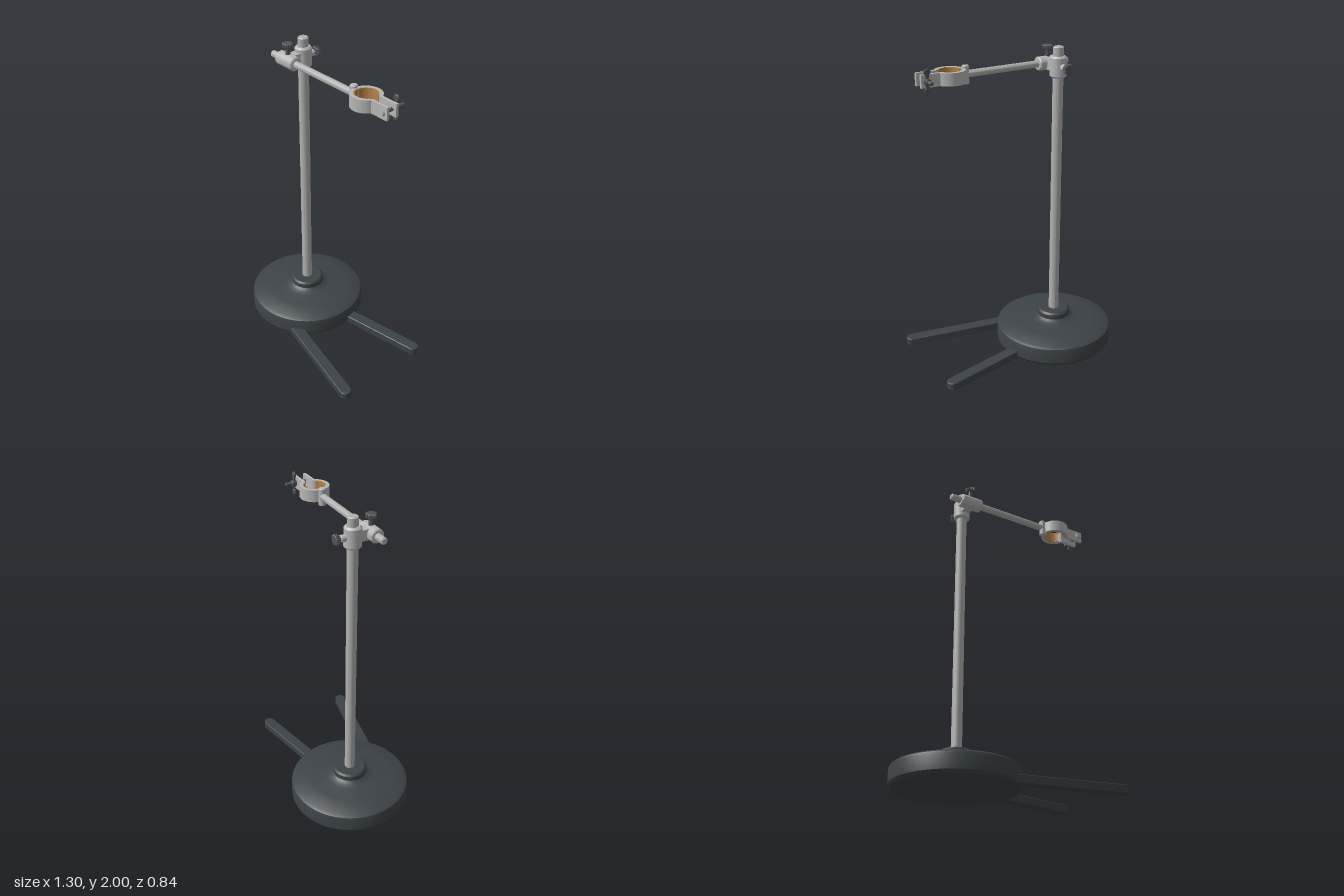
import * as THREE from 'three';
import { toCreasedNormals } from 'three/addons/utils/BufferGeometryUtils.js';

const material = (name, color, side = THREE.FrontSide) => {
  const m = new THREE.MeshStandardMaterial({ color, side });
  m.name = name;
  return m;
};

// Key positions
const POLE_X = -0.265, POLE_Z = -0.035;
const ARM_Y = 1.88, ARM_Z = 0.08;
const RING_X = 0.407, SCREW_X = 0.577;

export function createModel() {
  const iron = material('dark cast iron', 0x3c4347);
  const steel = material('steel rod', 0xb0b0b0);
  const cast = material('grey clamp metal', 0xb6b6b6);
  const black = material('dark screws', 0x505356);
  const cork = material('cork lining', 0xb8834a);

  const model = new THREE.Group();
  model.name = 'supportStand';

  const add = (name, geometry, mat, x = 0, y = 0, z = 0, parent = model) => {
    const mesh = new THREE.Mesh(geometry, mat);
    mesh.name = name;
    mesh.position.set(x, y, z);
    parent.add(mesh);
    return mesh;
  };

  // Turned solid about y from [radius, height] pairs
  const turned = (points, segments = 40) => toCreasedNormals(
    new THREE.LatheGeometry(points.map(([r, h]) => new THREE.Vector2(r, h)), segments), 0.45);

  // Cylinder with chamfered ends, from height a to height b
  const bar = (r, a, b, c = 0.006, segments = 32) =>
    turned([[0, a], [r - c, a], [r, a + c], [r, b - c], [r - c, b], [0, b]], segments);

  // Flat outline in x and z, raised along y
  const raised = (shape, height, bevel = 0) => {
    const g = new THREE.ExtrudeGeometry(shape, {
      depth: height - 2 * bevel, curveSegments: 28, bevelEnabled: bevel > 0,
      bevelSize: bevel, bevelThickness: bevel, bevelOffset: -bevel, bevelSegments: 1,
    });
    return toCreasedNormals(g.rotateX(-Math.PI / 2).translate(0, bevel, 0), 0.45);
  };

  // Round base with sloping top and neck
  add('base', turned([
    [0, 0], [0.372, 0], [0.385, 0.018], [0.385, 0.103], [0.38, 0.118], [0.364, 0.129],
    [0.25, 0.147], [0.16, 0.16], [0.13, 0.167], [0.118, 0.174], [0.108, 0.182],
    [0.108, 0.213], [0.097, 0.225], [0, 0.225],
  ], 64), iron, POLE_X, 0, POLE_Z);

  // Two splayed legs with rounded tips
  const LEG_LENGTH = 0.72, LEG_R = 0.037, LEG_ANGLE = 0.195;
  const legShape = new THREE.Shape();
  legShape.moveTo(-LEG_LENGTH, -LEG_R);
  legShape.lineTo(0, -LEG_R);
  legShape.absarc(0, 0, LEG_R, -Math.PI / 2, Math.PI / 2, false);
  legShape.lineTo(-LEG_LENGTH, LEG_R);
  const legGeometry = raised(legShape, 0.052, 0.004);
  for (const s of [-1, 1]) {
    const leg = add(s > 0 ? 'frontLeg' : 'backLeg', legGeometry, iron, 0.609, 0, ARM_Z + s * 0.299);
    leg.rotation.y = -s * LEG_ANGLE;
  }

  // Upright pole and horizontal arm
  add('pole', bar(0.033, 0.2, 2), steel, POLE_X, 0, POLE_Z);
  add('arm', bar(0.0215, -0.41, 0.31), steel, 0, ARM_Y, ARM_Z).rotation.z = -Math.PI / 2;

  // Boss head joining pole and arm
  const boss = new THREE.Group();
  boss.name = 'bossHead';
  boss.position.set(POLE_X, ARM_Y, 0);
  model.add(boss);
  add('poleCollar', bar(0.052, -0.067, 0.063, 0.01), cast, 0, 0, POLE_Z, boss);
  add('armSleeve', bar(0.043, -0.075, 0.075, 0.007), cast, 0, 0, ARM_Z, boss).rotation.z = -Math.PI / 2;
  add('bridge', new THREE.BoxGeometry(0.058, 0.066, ARM_Z - POLE_Z), cast,
    0, 0, (ARM_Z + POLE_Z) / 2, boss);
  add('screwSocket', bar(0.021, 0.03, 0.08, 0.004), cast, 0, 0, POLE_Z, boss).rotation.x = -Math.PI / 2;

  // Thumbscrews with ribbed heads, built upright
  const RIBS = 18;
  const headShape = new THREE.Shape();
  for (let i = 0; i < RIBS * 4; i++) {
    const r = i % 4 < 2 ? 0.033 : 0.0295;
    const a = (i / (RIBS * 4)) * Math.PI * 2;
    headShape[i ? 'lineTo' : 'moveTo'](r * Math.cos(a), r * Math.sin(a));
  }
  const headGeometry = raised(headShape, 0.027, 0.004);
  const thumbScrew = (name, from, head) => {
    const g = new THREE.Group();
    g.name = name;
    add('screwStem', bar(0.015, from, head + 0.005, 0.002, 20), black, 0, 0, 0, g);
    add('screwHead', headGeometry, black, 0, head, 0, g);
    boss.add(g);
    return g;
  };
  thumbScrew('armScrew', 0.03, 0.084).position.z = ARM_Z;
  const poleScrew = thumbScrew('poleScrew', 0.05, 0.09);
  poleScrew.position.z = POLE_Z;
  poleScrew.rotation.x = -Math.PI / 2;

  // Ring clamp: two hinged halves, each lined with cork
  const clamp = new THREE.Group();
  clamp.name = 'ringClamp';
  clamp.position.set(RING_X, ARM_Y - 0.038, ARM_Z);
  model.add(clamp);
  const HEIGHT = 0.076, OUTER = 0.092, INNER = 0.07, LINING = 0.064;
  const CLOSED = Math.PI * 0.985, OPEN = 0.56;
  for (const s of [-1, 1]) {
    const side = s > 0 ? 'back' : 'front';
    const arc = (shape, r, a, b) => shape.absarc(0, 0, r, s * a, s * b, s * (b - a) < 0);
    const jaw = new THREE.Shape();
    arc(jaw, OUTER, CLOSED, Math.asin(0.042 / OUTER));
    jaw.lineTo(0.201, s * 0.042);
    jaw.lineTo(0.201, s * 0.024);
    jaw.lineTo(0.076, s * 0.024);
    arc(jaw, INNER, OPEN, CLOSED);
    add(side + 'Jaw', raised(jaw, HEIGHT), cast, 0, 0, 0, clamp);

    const lining = new THREE.Shape();
    arc(lining, INNER, CLOSED, OPEN);
    arc(lining, LINING, OPEN, CLOSED);
    add(side + 'Lining', raised(lining, HEIGHT - 0.002), cork, 0, 0.001, 0, clamp);
  }
  add('hingePin', bar(0.022, -0.058, 0.052, 0.004), cast, 0.307, ARM_Y, ARM_Z);

  // Clamp bolt with hex head and wing nut
  const bolt = new THREE.Group();
  bolt.name = 'clampBolt';
  bolt.position.set(SCREW_X, ARM_Y, 0);
  model.add(bolt);
  const alongZ = (name, geometry, mat, z) => {
    add(name, geometry.rotateX(Math.PI / 2), mat, 0, 0, z, bolt);
  };
  const thread = [[0, -0.034]];
  for (let i = 0; i <= 20; i++) thread.push([i % 2 ? 0.012 : 0.0095, -0.034 + i * 0.008]);
  thread.push([0, 0.126]);
  alongZ('boltShaft', turned(thread, 20), black, 0);
  alongZ('boltHead', new THREE.CylinderGeometry(0.02, 0.02, 0.019, 6).toNonIndexed(), cast, 0.132);
  alongZ('wingNutBody', bar(0.02, 0.004, 0.038, 0.005, 24), black, 0);
  for (const s of [-1, 1]) {
    add('wingRoot', new THREE.BoxGeometry(0.018, 0.04, 0.01), black, 0, s * 0.033, 0.025, bolt);
    const lobe = bar(0.02, -0.006, 0.006, 0.003, 24).rotateX(Math.PI / 2);
    add('wingLobe', lobe, black, 0, s * 0.055, 0.025, bolt);
  }

  return model;
}
